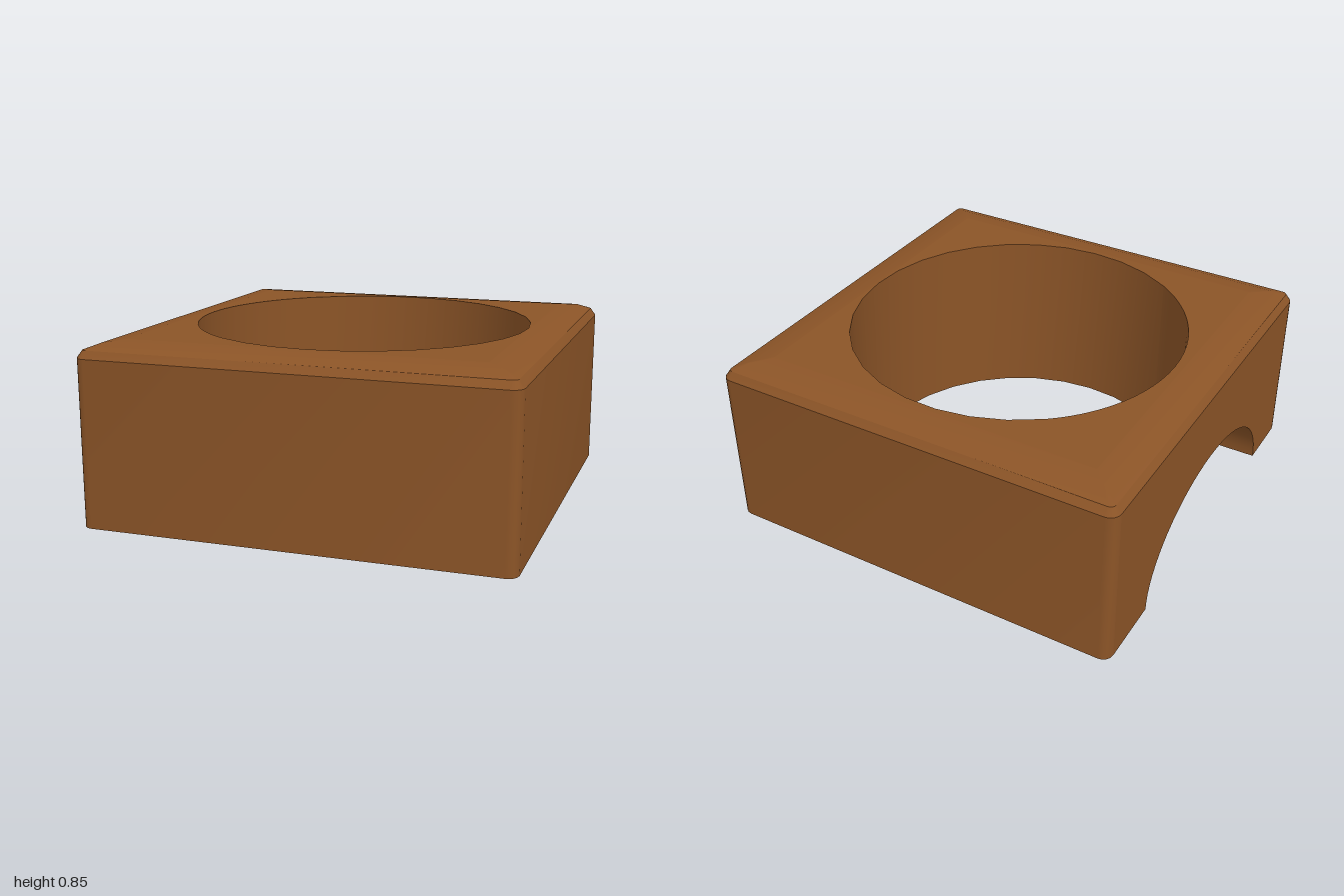
import * as THREE from 'three';
import { toCreasedNormals } from 'three/addons/utils/BufferGeometryUtils.js';

const TOP = 0.85, WALL = 0.78, CORNER = 0.05;
const bore = { x: 0.017, z: 0.003, r: 0.803 };
const arch = { z: 0.02, a: 0.65, b: 0.43 };

const V2 = (x, y) => new THREE.Vector2(x, y);
const V3 = (x, y, z) => new THREE.Vector3(x, y, z);

// Quads between two point rows; the row runs to the right, from lower to upper.
function strip(lower, upper, out = []) {
  for (let i = 0; i < lower.length - 1; i++) {
    const [a, b, c, d] = [lower[i], lower[i + 1], upper[i + 1], upper[i]];
    for (const p of [a, b, c, a, c, d]) out.push(p.x, p.y, p.z);
  }
  return out;
}

function surface(positions) {
  const g = new THREE.BufferGeometry();
  g.setAttribute('position', new THREE.Float32BufferAttribute(positions, 3));
  return toCreasedNormals(g, 0.55);
}

// Rounded square, counter-clockwise; its closing edge lies on the arched side.
function outline(h) {
  const r = Math.max(0.005, CORNER - (1 - h)), c = h - r, pts = [];
  for (let k = 0; k < 4; k++) {
    const sx = k === 1 || k === 2 ? 1 : -1, sy = k < 2 ? -1 : 1;
    for (let i = 0; i <= 4; i++) {
      const t = Math.PI + (k + i / 4) * Math.PI / 2;
      pts.push(V2(sx * c + r * Math.cos(t), sy * c + r * Math.sin(t)));
    }
  }
  return pts;
}

const at = (pts, y) => pts.map(p => V3(p.x, y, -p.y));

export function createModel() {
  const group = new THREE.Group();
  const material = new THREE.MeshStandardMaterial({ color: 0x8b5427 });
  const add = (name, geometry) => {
    const mesh = new THREE.Mesh(geometry, material);
    mesh.name = name;
    group.add(mesh);
  };

  // Arch curve, and the same curve projected onto the bore wall
  const archPts = [], seam = [];
  const N = 32;
  for (let i = 0; i <= N; i++) {
    const t = Math.PI * i / N;
    const z = arch.z + arch.a * Math.cos(t), y = arch.b * Math.sin(t);
    archPts.push(V3(-1, y, z));
    seam.push(V3(bore.x - Math.sqrt(bore.r ** 2 - (z - bore.z) ** 2), y, z));
  }

  // Rest of the bore's foot, running round from one arch end to the other
  const start = Math.PI + Math.asin((bore.z - arch.z + arch.a) / bore.r);
  const end = 3 * Math.PI - Math.asin((arch.z + arch.a - bore.z) / bore.r);
  const foot = [];
  for (let i = 0; i <= 22; i++) {
    const t = start + (end - start) * i / 22;
    foot.push(V3(bore.x + bore.r * Math.cos(t), 0, bore.z + bore.r * Math.sin(t)));
  }

  // Outer walls and softened top edge
  const rings = [[1, 0], [1, WALL], [0.975, 0.815], [0.91, 0.84], [0.825, TOP]]
    .map(([h, y]) => at(outline(h), y));
  const shell = strip(rings[0], rings[1]);
  for (let k = 1; k < rings.length - 1; k++) {
    strip([...rings[k], rings[k][0]], [...rings[k + 1], rings[k + 1][0]], shell);
  }
  add('outerWalls', surface(shell));

  // Side panel with the arched opening
  const e = 1 - CORNER;
  const panel = new THREE.Shape([
    V2(-e, 0), ...archPts.slice().reverse().map(p => V2(p.z, p.y)),
    V2(e, 0), V2(e, WALL), V2(-e, WALL),
  ]);
  add('archedSide', new THREE.ShapeGeometry(panel).rotateY(-Math.PI / 2).translate(-1, 0, 0));

  // Arched tunnel leading into the bore
  add('archTunnel', surface(strip(archPts, seam)));

  // Round bore wall
  const boreFoot = [...seam, ...foot.slice(1)];
  const boreRim = boreFoot.map(p => V3(p.x, TOP, p.z));
  add('boreWall', surface(strip(boreFoot, boreRim)));

  // Flat top around the bore
  const top = new THREE.Shape(outline(0.825));
  top.holes.push(new THREE.Path(boreRim.slice(0, -1).map(p => V2(p.x, -p.z))));
  add('topFace', new THREE.ShapeGeometry(top).rotateX(-Math.PI / 2).translate(0, TOP, 0));

  // C-shaped underside, open where the arch passes
  const base = new THREE.Shape([
    ...outline(1).map(p => V2(p.x, -p.y)),
    V2(-1, arch.z + arch.a * -1), ...foot.map(p => V2(p.x, p.z)), V2(-1, arch.z + arch.a),
  ]);
  add('underside', new THREE.ShapeGeometry(base).rotateX(Math.PI / 2));

  return group;
}
